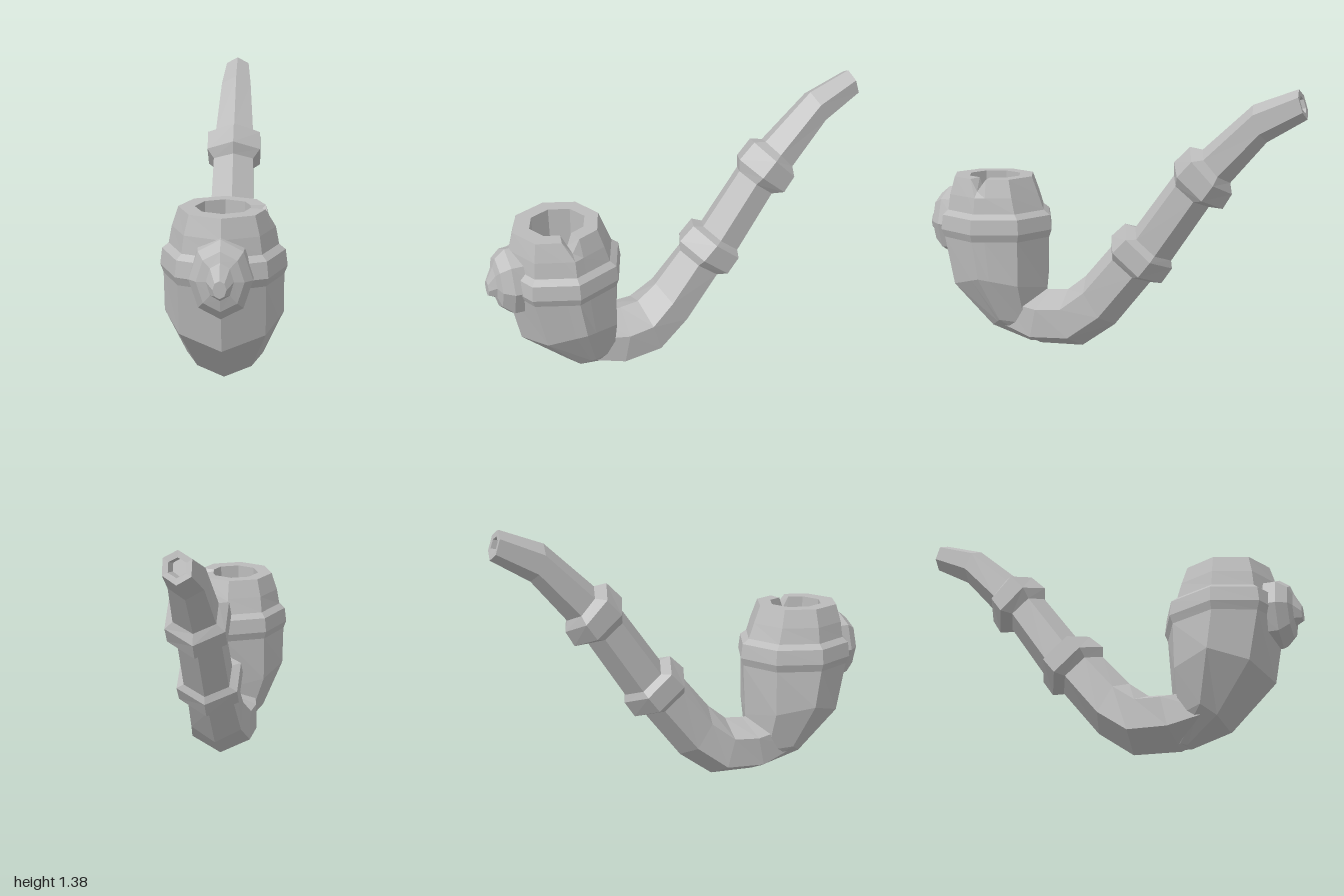
import * as THREE from 'three';

const V = (x, y, z) => new THREE.Vector3(x, y, z);

// Closed faceted solid through a series of equal-sized rings, capped by fans.
function loft(name, rings, material) {
  const n = rings[0].length;
  const tris = [];
  for (let r = 0; r < rings.length - 1; r++) {
    for (let i = 0; i < n; i++) {
      const j = (i + 1) % n;
      const [a, b, c, d] = [rings[r][i], rings[r][j], rings[r + 1][j], rings[r + 1][i]];
      tris.push([a, b, c], [a, c, d]);
    }
  }
  const first = rings[0], last = rings[rings.length - 1];
  const middle = ring => ring.reduce((s, p) => s.add(p), V(0, 0, 0)).divideScalar(n);
  const m0 = middle(first), m1 = middle(last);
  for (let i = 0; i < n; i++) {
    const j = (i + 1) % n;
    tris.push([m0, first[j], first[i]], [m1, last[i], last[j]]);
  }
  // turn the faces outward
  const volume = tris.reduce((s, [a, b, c]) => s + a.dot(b.clone().cross(c)), 0);
  const points = tris.flatMap(([a, b, c]) => (volume < 0 ? [a, c, b] : [a, b, c]));
  const geometry = new THREE.BufferGeometry().setFromPoints(points);
  geometry.computeVertexNormals();
  const mesh = new THREE.Mesh(geometry, material);
  mesh.name = name;
  return mesh;
}

// Octagonal bowl ring; heights and depths differ at front, side and back.
// Two extra points beside +x make room for the rim notch.
function bowlRing({ y, rx, z, notch = 0 }) {
  const [yF, yS, yB] = y, [zF, zS, zB] = z;
  const corner = i => {
    const a = (i * Math.PI) / 4, s = Math.sin(a);
    const yEnd = s > 0 ? yF : yB, zEnd = s > 0 ? zF - zS : zS - zB;
    return V(rx * Math.cos(a), yS + s * s * (yEnd - yS), zS + s * zEnd);
  };
  const ring = [];
  for (const t of [0, 0.28, 1, 2, 3, 4, 5, 6, 7, 7.72]) {
    const i = Math.floor(t);
    ring.push(corner(i).lerp(corner(i + 1), t - i));
  }
  ring[0].y -= notch;
  return ring;
}

// Hexagonal stem section with a ridge on top and below, given its two ridge points.
function stemRing([topZ, topY, botZ, botY, w]) {
  const at = (x, t) => V(x, topY + (botY - topY) * t, topZ + (botZ - topZ) * t);
  return [at(0, 0), at(w, 0.24), at(w, 0.74), at(0, 1), at(-w, 0.74), at(-w, 0.24)];
}

// Octagonal ring facing forward, for the front ornament.
function bossRing([z, cy, rx, ry]) {
  return Array.from({ length: 8 }, (_, i) => {
    const a = (i * Math.PI) / 4;
    return V(rx * Math.cos(a), cy + ry * Math.sin(a), z);
  });
}

export function createModel() {
  const group = new THREE.Group();
  group.name = 'pipe';
  const grey = new THREE.MeshStandardMaterial({ color: 0xbbbbbb, flatShading: true });
  grey.name = 'grey';

  // Bowl: from the keel up the outside, over the rim and down the chamber
  const level = (h, rx, zF, zB, notch) => ({ y: [h, h, h], rx, z: [zF, 0.63, zB], notch });
  const bowl = [
    { y: [0.015, 0.03, 0.02], rx: 0.05, z: [0.43, 0.39, 0.35] },
    { y: [0.07, 0.16, 0.12], rx: 0.18, z: [0.62, 0.53, 0.36] },
    { y: [0.28, 0.39, 0.31], rx: 0.275, z: [0.85, 0.6, 0.34] },
    level(0.58, 0.275, 0.91, 0.325),
    level(0.62, 0.29, 0.93, 0.31),
    level(0.695, 0.28, 0.92, 0.32),
    level(0.72, 0.25, 0.89, 0.355),
    level(0.8, 0.235, 0.88, 0.385),
    level(0.89, 0.205, 0.855, 0.42, 0.06),
    level(0.89, 0.13, 0.77, 0.49, 0.06),
    level(0.55, 0.12, 0.76, 0.5),
  ];
  group.add(loft('bowl', bowl.map(bowlRing), grey));

  // Stem with two collars and a hollow mouthpiece: [topZ, topY, bottomZ, bottomY, half width]
  const stem = [
    [0.5, 0.3, 0.6, 0.08, 0.13],
    [0.32, 0.3, 0.38, 0.005, 0.165],
    [0.22, 0.31, 0.14, 0.018, 0.155],
    [0.12, 0.39, -0.04, 0.15, 0.13],
    [-0.02, 0.555, -0.23, 0.39, 0.115],
    [-0.02, 0.61, -0.29, 0.39, 0.15],
    [-0.095, 0.68, -0.345, 0.47, 0.15],
    [-0.15, 0.665, -0.34, 0.51, 0.112],
    [-0.35, 0.94, -0.53, 0.795, 0.105],
    [-0.35, 1.005, -0.6, 0.79, 0.14],
    [-0.43, 1.085, -0.645, 0.865, 0.14],
    [-0.495, 1.075, -0.635, 0.92, 0.1],
    [-0.74, 1.3, -0.81, 1.125, 0.08],
    [-0.955, 1.38, -1, 1.24, 0.062],
    [-0.963, 1.35, -0.99, 1.268, 0.038],
    [-0.9, 1.33, -0.925, 1.26, 0.03],
  ];
  group.add(loft('stem', stem.map(stemRing), grey));

  // Rounded ornament on the front of the bowl: [z, centre y, half width, half height]
  const boss = [
    [0.78, 0.63, 0.15, 0.18],
    [0.9, 0.63, 0.14, 0.18],
    [0.95, 0.635, 0.105, 0.135],
    [0.965, 0.64, 0.06, 0.085],
    [1, 0.615, 0.03, 0.04],
  ];
  group.add(loft('frontOrnament', boss.map(bossRing), grey));

  return group;
}
